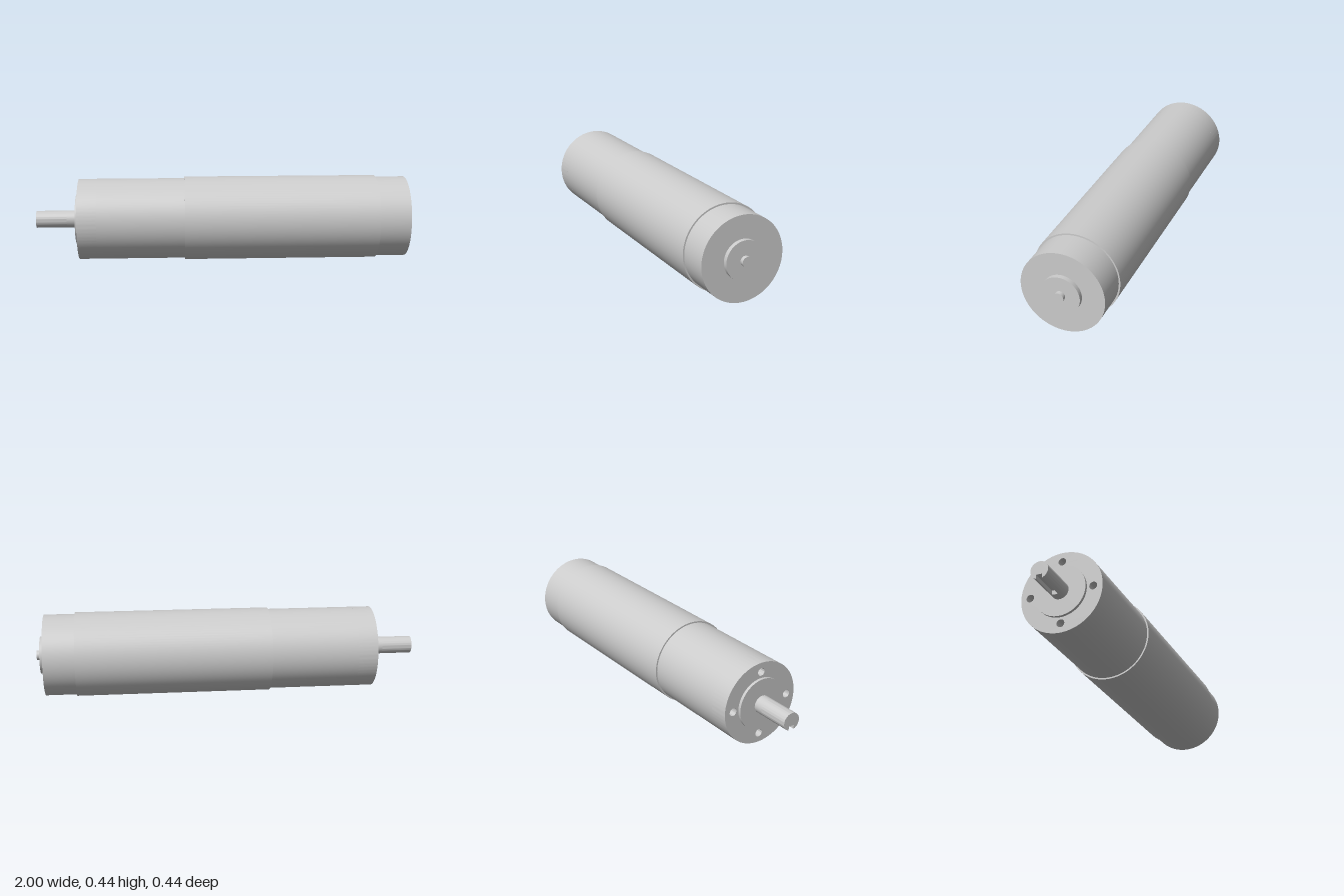
import * as THREE from 'three';
import { toCreasedNormals } from 'three/addons/utils/BufferGeometryUtils.js';

const AXIS_Y = 0.22;
const material = new THREE.MeshStandardMaterial({ color: 0xcccccc });

export function createModel() {
  const group = new THREE.Group();

  const add = (name, geometry) => {
    const mesh = new THREE.Mesh(geometry, material);
    mesh.name = name;
    mesh.position.y = AXIS_Y;
    group.add(mesh);
  };

  // Solid cylinder along x
  const disc = (name, x0, x1, radius, segments = 96) => {
    const geometry = new THREE.CylinderGeometry(radius, radius, x1 - x0, segments);
    geometry.rotateZ(-Math.PI / 2).translate((x0 + x1) / 2, 0, 0);
    add(name, geometry);
  };

  // Cross-section in the yz plane, extruded along x
  const extrudeX = (name, shape, x0, x1, curveSegments) => {
    const geometry = new THREE.ExtrudeGeometry(shape, { depth: x1 - x0, bevelEnabled: false, curveSegments });
    geometry.rotateY(Math.PI / 2).translate(x0, 0, 0);
    add(name, toCreasedNormals(geometry, 0.5));
  };

  // Main housings and rear end
  disc('motorHousing', -0.22, 0.795, 0.22);
  disc('rearCap', 0.795, 0.957, 0.212);
  disc('rearBoss', 0.957, 0.98, 0.098, 64);
  disc('rearPin', 0.98, 1, 0.025, 32);

  // Gearbox, with four mounting holes in its end face
  const holeDepth = 0.1;
  disc('gearboxHousing', -0.775 + holeDepth, -0.22, 0.212);
  const face = new THREE.Shape().absarc(0, 0, 0.212, 0, Math.PI * 2);
  for (let i = 0; i < 4; i++) {
    const a = (i * Math.PI) / 2;
    face.holes.push(new THREE.Path().absarc(0.164 * Math.cos(a), 0.164 * Math.sin(a), 0.02, 0, Math.PI * 2, true));
  }
  extrudeX('gearboxFace', face, -0.775, -0.775 + holeDepth, 96);
  disc('gearboxBoss', -0.79, -0.775, 0.132);

  // Output shaft, with a keyway cut into the underside of its end
  const r = 0.045, half = 0.015, slotTop = -0.022;
  disc('shaftBase', -0.84, -0.79, r, 48);
  const a = Math.asin(half / r);
  const keyed = new THREE.Shape()
    .absarc(0, 0, r, -Math.PI / 2 + a, Math.PI * 1.5 - a)
    .lineTo(-half, slotTop)
    .lineTo(half, slotTop);
  extrudeX('keyedShaft', keyed, -1, -0.84, 48);

  return group;
}
